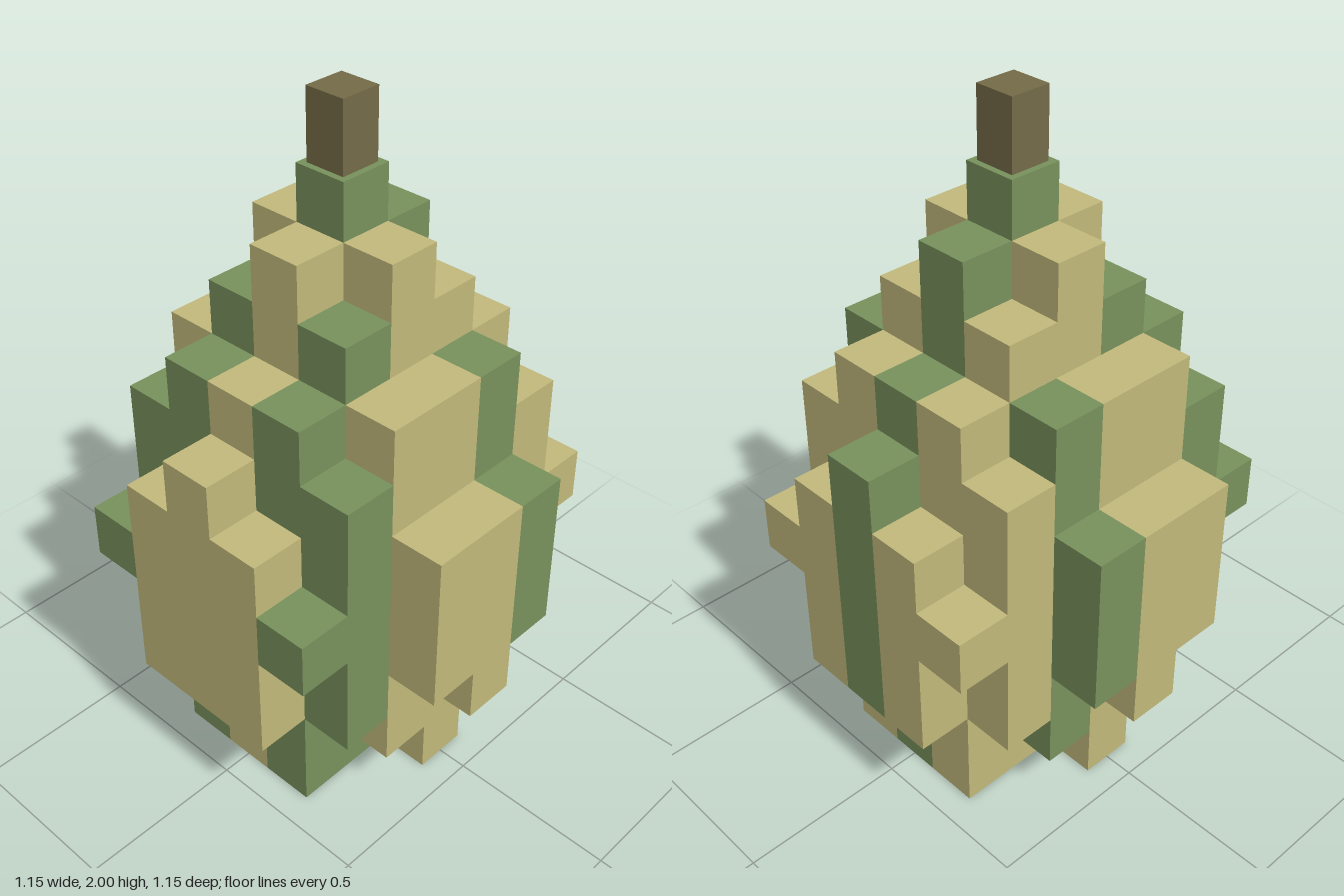
import * as THREE from 'three';
import { mergeGeometries } from 'three/addons/utils/BufferGeometryUtils.js';

const V = 1.8 / 11; // edge of one block

// Vertical extent [bottom, top] of each column, in blocks, indexed by |x| then |z|
const SPANS = [
  [[0, 11], [0, 10], [0, 8], [2, 6]],
  [[0, 10], [0, 9], [1, 8], [3, 6]],
  [[0, 8], [0, 8], [2, 7]],
  [[2, 7], [2, 6], [4, 5]],
];

// Colour pattern seen from above: rows are |z| = 0..3, letters run x = -3..3
const PATTERN = ['tttgggg', 'tggtttt', 'ggttgtt', 'ttttgtt'];

const span = (x, z) => SPANS[Math.abs(x)]?.[Math.abs(z)];
const filled = (x, y, z) => {
  const s = span(x, z);
  return !!s && y >= s[0] && y < s[1];
};

// Outward directions with the rotation that turns a +z plane towards them
const H = Math.PI / 2;
const SIDES = [
  [1, 0, 0, 0, H], [-1, 0, 0, 0, -H],
  [0, 1, 0, -H, 0], [0, -1, 0, H, 0],
  [0, 0, 1, 0, 0], [0, 0, -1, 0, Math.PI],
];

// All exposed block faces of one colour
function blockShell(letter) {
  const faces = [];
  for (let x = -3; x <= 3; x++) {
    for (let z = -3; z <= 3; z++) {
      const s = span(x, z);
      if (!s || PATTERN[Math.abs(z)][x + 3] !== letter) continue;
      for (let y = s[0]; y < s[1]; y++) {
        for (const [dx, dy, dz, rx, ry] of SIDES) {
          if (filled(x + dx, y + dy, z + dz)) continue;
          const face = new THREE.PlaneGeometry(V, V);
          face.rotateX(rx).rotateY(ry);
          face.translate((x + dx / 2) * V, (y + 0.5 + dy / 2) * V, (z + dz / 2) * V);
          faces.push(face);
        }
      }
    }
  }
  return mergeGeometries(faces);
}

function material(name, color) {
  const m = new THREE.MeshStandardMaterial({ color });
  m.name = name;
  return m;
}

export function createModel() {
  const group = new THREE.Group();
  group.name = 'blockFruit';
  const add = (name, geometry, mat) => {
    const mesh = new THREE.Mesh(geometry, mat);
    mesh.name = name;
    group.add(mesh);
    return mesh;
  };

  // Fruit body: pale rind with green patches
  add('paleRind', blockShell('t'), material('tan', 0xc2b97b));
  add('greenPatches', blockShell('g'), material('green', 0x78915c));

  // Stem on top
  add('stem', new THREE.BoxGeometry(0.125, 0.2, 0.125), material('brown', 0x756b48)).position.y = 1.9;

  return group;
}
